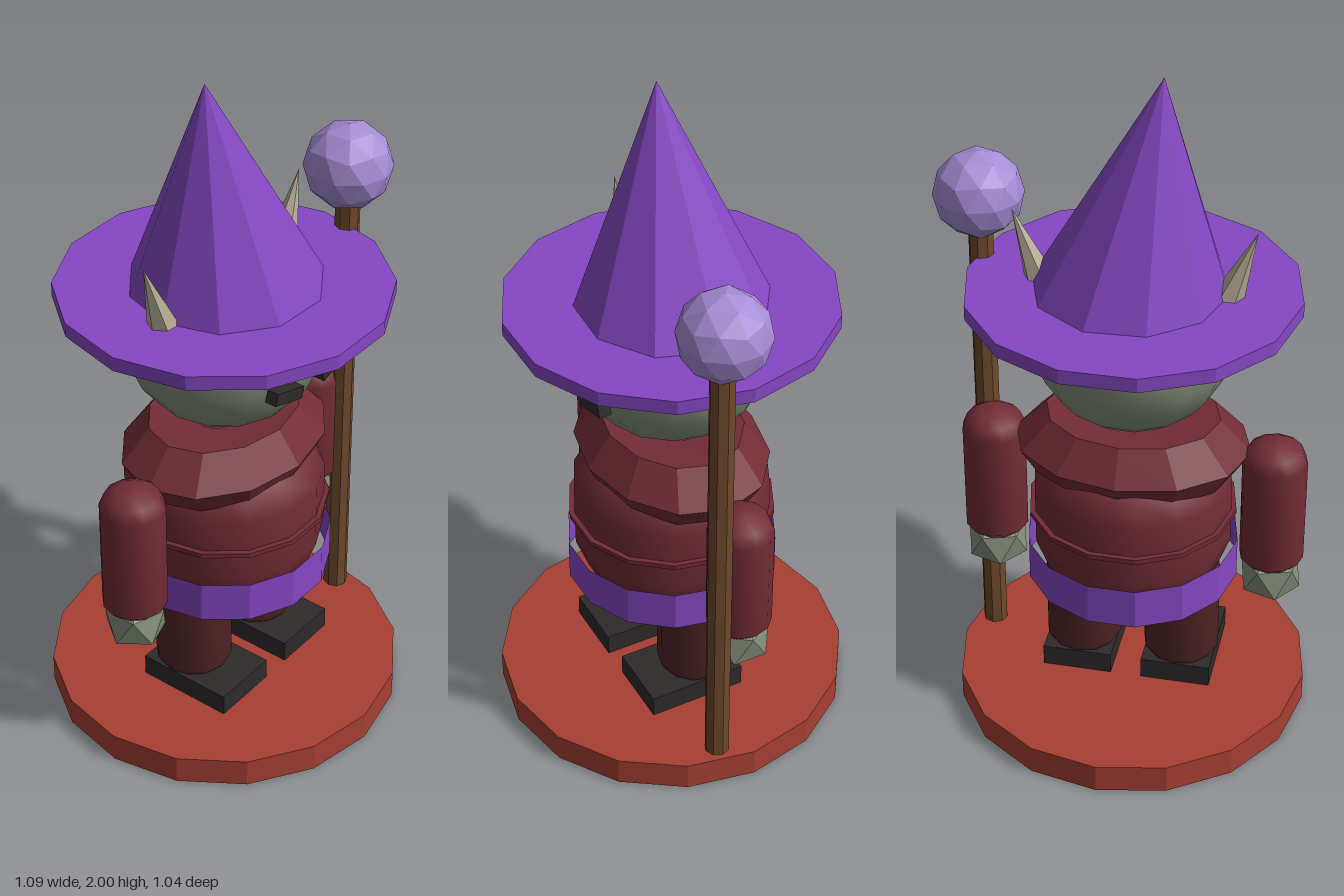
import * as THREE from 'three';

const CX = -0.032; // centre line of the figure

export function createModel() {
  const root = new THREE.Group();
  root.name = 'goblinWizardFigurine';

  const mat = (name, color, side = THREE.FrontSide) => {
    const m = new THREE.MeshStandardMaterial({ color, side });
    m.name = name;
    return m;
  };
  const clay = mat('clayRed', 0xa84034);
  const purple = mat('hatPurple', 0x8648c4, THREE.DoubleSide);
  const red = mat('robeRed', 0x732c36);
  const maroon = mat('trouserMaroon', 0x4e2224);
  const skin = mat('skinGreen', 0x84907a);
  const bone = mat('earBone', 0xb8ae98);
  const wood = mat('staffWood', 0x704a2c);
  const lilac = mat('orbLilac', 0xa68cd6);
  const dark = mat('bootDark', 0x2e2a2a);

  const add = (name, geo, material, x = 0, y = 0, z = 0, rz = 0) => {
    const m = new THREE.Mesh(geo, material);
    m.name = name;
    m.position.set(x, y, z);
    m.rotation.z = rz;
    root.add(m);
    return m;
  };
  const flat = (geo) => {
    const g = geo.index ? geo.toNonIndexed() : geo;
    g.computeVertexNormals();
    return g;
  };
  const cyl = (rTop, rBottom, h, n, open = false) =>
    flat(new THREE.CylinderGeometry(rTop, rBottom, h, n, 1, open, Math.PI / 2));
  // Profile given as [radius, height] from bottom to top
  const lathe = (pts, n) =>
    new THREE.LatheGeometry(pts.map(([r, y]) => new THREE.Vector2(r, y)), n, Math.PI / 2);
  // Icosahedron standing on one of its corners
  const ico = (r, detail) =>
    flat(new THREE.IcosahedronGeometry(r, detail).rotateZ(-Math.atan(2 / (1 + Math.sqrt(5)))));

  // Round stand
  add('base', cyl(0.518, 0.518, 0.087, 16), clay, CX, 0.0435);

  // Torso with rounded ends, seam and open belt
  const torso = [[0, 0.35], [0.16, 0.388], [0.25, 0.46], [0.287, 0.56],
    [0.287, 0.76], [0.25, 0.83], [0.16, 0.92], [0, 0.955]];
  add('torso', lathe(torso, 14), red, CX);
  add('robeSeam', cyl(0.302, 0.302, 0.015, 14), red, CX, 0.66);
  add('belt', cyl(0.308, 0.308, 0.125, 14, true), purple, CX, 0.4975);

  // Wide collar, flattened front to back
  const collar = [[0.1, 0.8], [0.295, 0.8], [0.34, 0.872], [0.25, 0.966], [0.1, 0.95]];
  add('collar', flat(lathe(collar, 12)), red, CX).scale.z = 0.77;

  // Head
  add('head', new THREE.SphereGeometry(0.288, 14, 12), skin, CX, 1.24);

  // Paired parts
  const arm = [[0, 0.492], [0.06, 0.496], [0.093, 0.53], [0.093, 0.855],
    [0.078, 0.893], [0.042, 0.915], [0, 0.92]];
  const leg = [[0, 0.14], [0.098, 0.145], [0.112, 0.17], [0.112, 0.45],
    [0.095, 0.5], [0.055, 0.54], [0, 0.555]];
  for (const s of [1, -1]) {
    const side = s > 0 ? 'left' : 'right';
    add(side + 'Arm', lathe(arm, 12), red, CX + s * 0.407);
    add(side + 'Hand', ico(0.096, 0), skin, CX + s * 0.407, 0.465);
    add(side + 'Leg', lathe(leg, 12), maroon, CX + s * 0.148);
    add(side + 'Boot', new THREE.BoxGeometry(0.205, 0.068, 0.295), dark,
      CX + s * 0.148, 0.118, 0.044);
    // Slanted eye
    add(side + 'Eye', new THREE.BoxGeometry(0.122, 0.036, 0.036), dark,
      CX + s * 0.104, 1.182, 0.285, s * 0.3);
    // Pointed ear, leaning outwards
    add(side + 'Ear', cyl(0, 0.056, 0.28, 6), bone,
      CX + s * 0.288, 1.443, 0, -s * 0.35);
  }

  // Hat: flat brim and a cone leaning to one side
  add('hatBrim', cyl(0.467, 0.467, 0.042, 14), purple, CX, 1.354);
  const lean = 0.12, coneH = 0.66;
  add('hatCone', cyl(0, 0.284, coneH, 10), purple,
    CX - Math.sin(lean) * coneH / 2, 1.345 + Math.cos(lean) * coneH / 2, 0, lean);

  // Staff and orb
  add('staff', cyl(0.036, 0.036, 1.44, 8), wood, 0.417, 0.8, 0.088);
  add('staffOrb', ico(0.127, 1), lilac, 0.418, 1.565, 0.085);

  return root;
}
